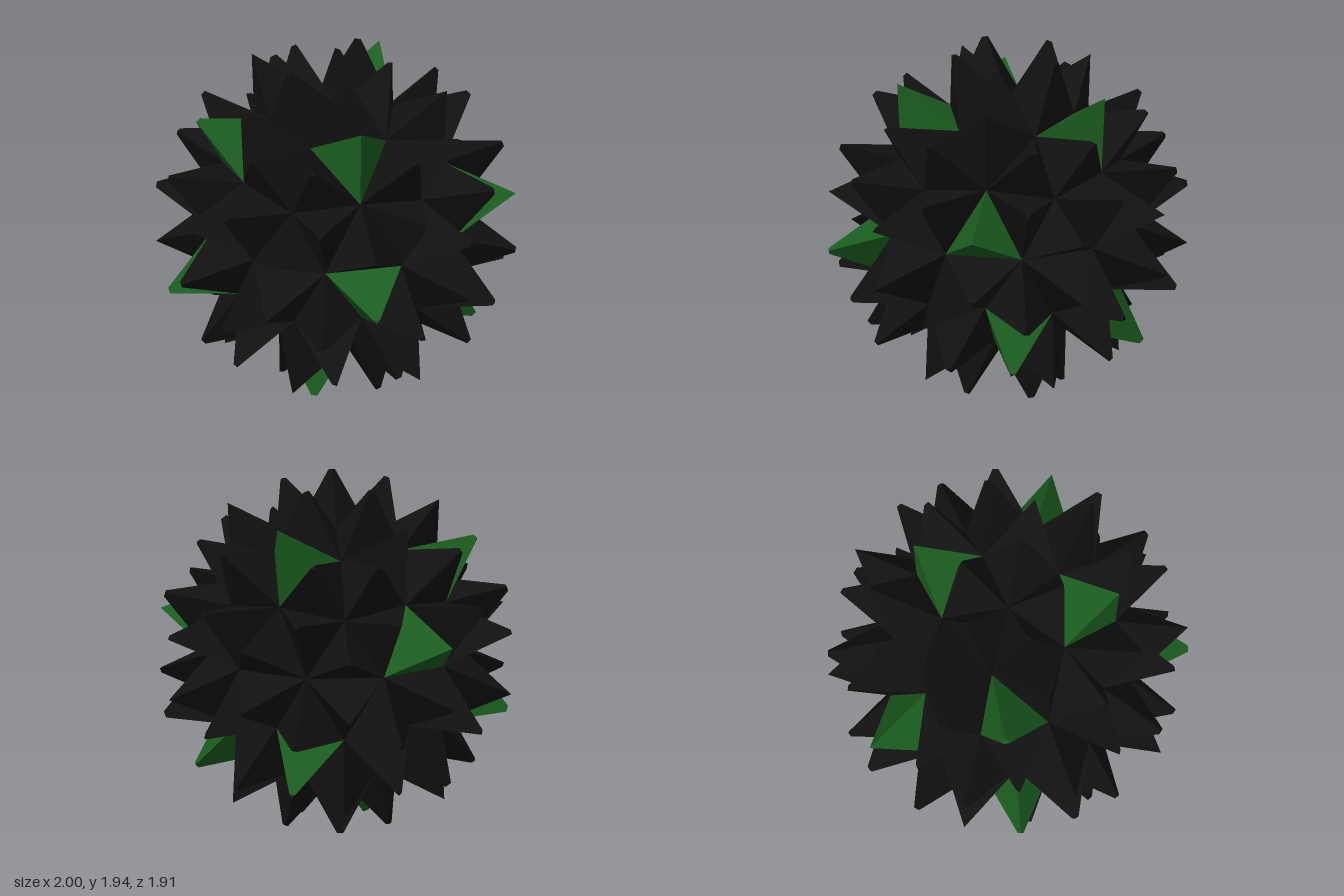
import * as THREE from 'three';

const BASE_R = 0.70;    // radius of the hidden geodesic core
const CENTER_Y = 0.967;
const black = new THREE.MeshStandardMaterial({ color: 0x111111, flatShading: true });
const green = new THREE.MeshStandardMaterial({ color: 0x1b5e20, flatShading: true });

// point on the unit sphere from height and azimuth (0 = +x, 90 = +z)
function onSphere(y, deg) {
  const a = THREE.MathUtils.degToRad(deg), r = Math.sqrt(1 - y * y);
  return new THREE.Vector3(r * Math.cos(a), y, r * Math.sin(a));
}

// icosahedron faces, standing on a vertex
function icosahedronFaces() {
  const h = 1 / Math.sqrt(5), faces = [];
  const top = new THREE.Vector3(0, 1, 0), bottom = new THREE.Vector3(0, -1, 0);
  for (let k = 0; k < 5; k++) {
    const a = 72 * k;
    const u0 = onSphere(h, a), u1 = onSphere(h, a + 72);
    const l0 = onSphere(-h, a + 36), l1 = onSphere(-h, a + 108);
    faces.push([top, u0, u1], [u0, u1, l0], [u1, l0, l1], [bottom, l0, l1]);
  }
  return faces;
}

// three-sided spike on a core triangle; tip is the size of its blunt end
function spikeGeometry(tri, apex, tip) {
  const c = centroid(tri);
  const ends = tri.map(p => p.clone().sub(c).multiplyScalar(tip).add(apex));
  const pos = [];
  const add = (...pts) => pts.forEach(p => pos.push(p.x, p.y, p.z));
  for (let i = 0; i < 3; i++) {
    const j = (i + 1) % 3;
    add(tri[i], tri[j], ends[j]);
    if (tip > 0) add(tri[i], ends[j], ends[i]);
  }
  if (tip > 0) add(...ends);
  const g = new THREE.BufferGeometry();
  g.setAttribute('position', new THREE.Float32BufferAttribute(pos, 3));
  g.computeVertexNormals();
  return g;
}

function centroid([a, b, c]) {
  return a.clone().add(b).add(c).divideScalar(3);
}

// directions of the green spikes: height, azimuth
const greenDirections = [
  [0.81, 108], [0.81, 324], [0.188, 36], [0.188, 252], [-0.157, 108],
  [0.64, 202.5], [-0.64, 22.5], [-0.64, 310.5], [-0.954, 144], [-0.343, 197.7],
].map(([y, a]) => onSphere(y, a));

export function createModel() {
  const model = new THREE.Group();
  model.name = 'spikedBall';
  const spikes = new THREE.Group();
  spikes.name = 'spikes';
  spikes.position.y = CENTER_Y;
  model.add(spikes);

  function addSpike(corners, apexR, tip) {
    let tri = corners.map(p => p.clone().multiplyScalar(BASE_R));
    const [a, b, c] = tri;
    const normal = b.clone().sub(a).cross(c.clone().sub(a));
    if (normal.dot(a) < 0) tri = [a, c, b];       // wind outward
    const dir = centroid(tri).normalize();
    const isGreen = greenDirections.some(g => g.dot(dir) > 0.99);
    const mesh = new THREE.Mesh(
      spikeGeometry(tri, dir.multiplyScalar(apexR), tip), isGreen ? green : black);
    mesh.name = isGreen ? 'greenSpike' : 'blackSpike';
    spikes.add(mesh);
  }

  // each face splits in four: one sharp middle spike, three blunt corner spikes
  for (const f of icosahedronFaces()) {
    const mids = f.map((p, i) => p.clone().add(f[(i + 1) % 3]).normalize());
    addSpike(mids, 1.017, 0);
    f.forEach((p, i) => addSpike([p, mids[i], mids[(i + 2) % 3]], 1.01, 0.085));
  }
  return model;
}
